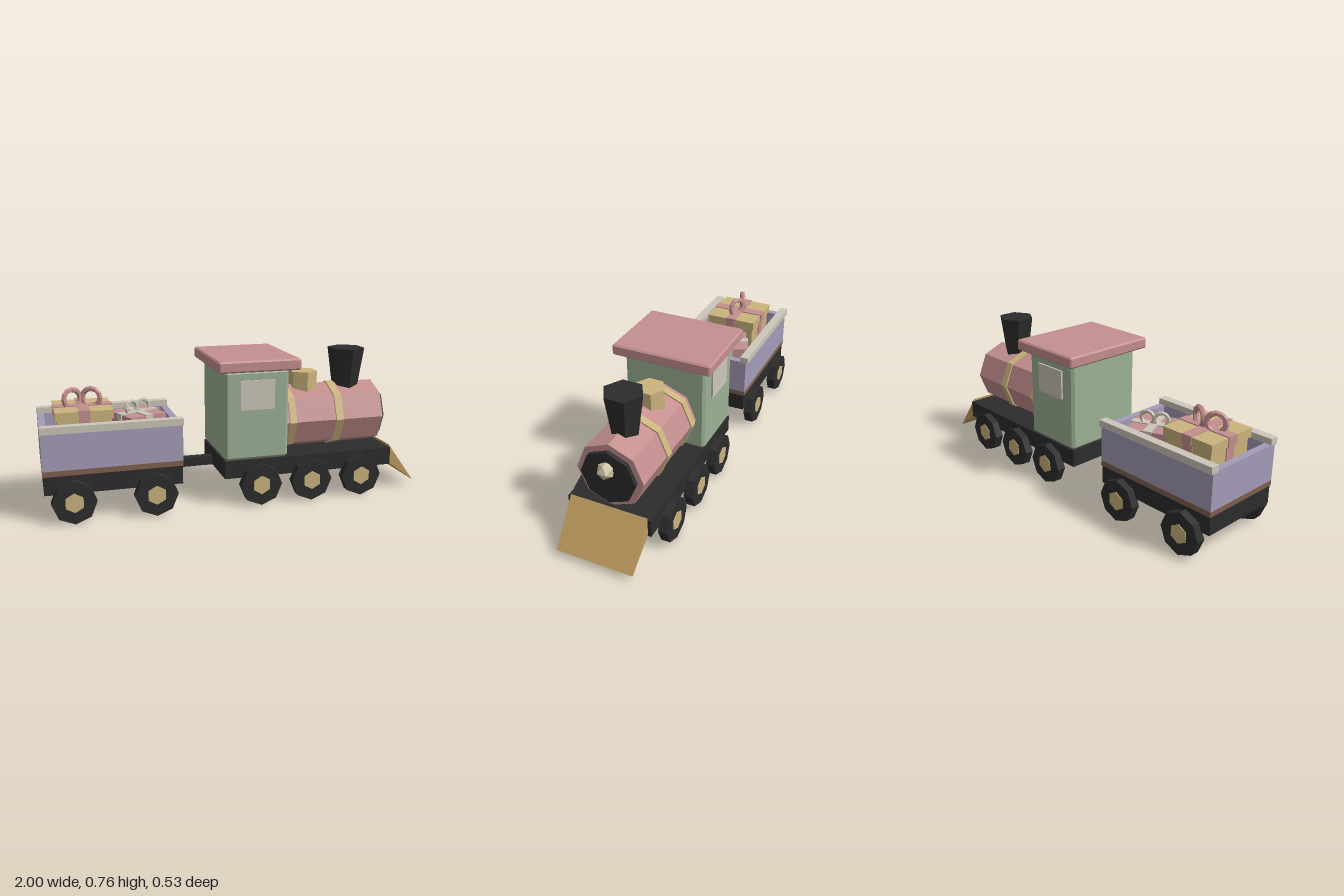
import * as THREE from 'three';
import { ConvexGeometry } from 'three/addons/geometries/ConvexGeometry.js';

const paint = (name, color) => {
  const m = new THREE.MeshStandardMaterial({ color });
  m.name = name;
  return m;
};

// Faceted look: every face gets its own normal
function flat(geometry) {
  const g = geometry.index ? geometry.toNonIndexed() : geometry;
  g.computeVertexNormals();
  return g;
}

// Box with chamfered edges
function chamferBox(w, h, d, c) {
  const pts = [];
  for (const x of [-w / 2, w / 2]) for (const y of [-h / 2, h / 2]) for (const z of [-d / 2, d / 2]) {
    const sx = Math.sign(x) * c, sy = Math.sign(y) * c, sz = Math.sign(z) * c;
    pts.push(new THREE.Vector3(x, y - sy, z - sz), new THREE.Vector3(x - sx, y, z - sz),
      new THREE.Vector3(x - sx, y - sy, z));
  }
  return new ConvexGeometry(pts);
}

export function createModel() {
  const model = new THREE.Group();
  model.name = 'toyTrain';

  const pink = paint('dusty pink', 0xc48f8f);
  const green = paint('sage green', 0x9db195);
  const lavender = paint('lavender', 0xa59cb8);
  const black = paint('charcoal', 0x2c2c2c);
  const gold = paint('soft gold', 0xcbb47e);
  const ochre = paint('ochre', 0xbf9c60);
  const cream = paint('cream', 0xcdc6ba);
  const brown = paint('brown', 0x80604f);
  const pearl = paint('pale sand', 0xcfc3a6);

  function add(parent, name, geometry, material, x = 0, y = 0, z = 0) {
    const mesh = new THREE.Mesh(geometry, material);
    mesh.name = name;
    mesh.position.set(x, y, z);
    parent.add(mesh);
    return mesh;
  }
  // Box given by its limits, with an optional chamfer
  function block(parent, name, material, [x0, x1], [y0, y1], [z0, z1], c = 0) {
    const size = [x1 - x0, y1 - y0, z1 - z0];
    const g = c ? chamferBox(...size, c) : new THREE.BoxGeometry(...size);
    return add(parent, name, g, material, (x0 + x1) / 2, (y0 + y1) / 2, (z0 + z1) / 2);
  }
  // Faceted cylinder lying along x
  function drum(parent, name, material, r, x0, x1, y) {
    const g = flat(new THREE.CylinderGeometry(r, r, x1 - x0, 8));
    g.rotateZ(-Math.PI / 2);
    return add(parent, name, g, material, (x0 + x1) / 2, y, 0);
  }
  // Pairs of octagonal wheels with hexagonal hubs
  const wheelGeo = flat(new THREE.CylinderGeometry(0.11, 0.11, 0.047, 8)).rotateX(Math.PI / 2);
  const hubGeo = flat(new THREE.CylinderGeometry(0.05, 0.05, 0.052, 6)).rotateX(Math.PI / 2);
  function wheels(parent, xs) {
    for (const x of xs) for (const s of [-1, 1]) {
      add(parent, 'wheel', wheelGeo, black, x, 0.11, s * 0.235);
      add(parent, 'wheelHub', hubGeo, gold, x, 0.11, s * 0.236);
    }
  }

  // Locomotive
  const engine = new THREE.Group();
  engine.name = 'locomotive';
  model.add(engine);
  block(engine, 'engineChassis', black, [-0.093, 0.842], [0.145, 0.238], [-0.218, 0.218]);
  wheels(engine, [0.094, 0.372, 0.655]);

  // Cab
  block(engine, 'cab', green, [-0.093, 0.248], [0.238, 0.704], [-0.218, 0.218], 0.014);
  block(engine, 'cabRoof', pink, [-0.136, 0.296], [0.704, 0.762], [-0.264, 0.264], 0.008);
  for (const s of [-1, 1]) {
    add(engine, 'cabWindow', new THREE.BoxGeometry(0.184, 0.152, 0.0095), cream, 0.077, 0.58, s * 0.2225);
  }

  // Boiler
  drum(engine, 'boiler', pink, 0.172, 0.24, 0.81, 0.405);
  drum(engine, 'boilerFront', black, 0.141, 0.8, 0.832, 0.405);
  drum(engine, 'boilerBand', gold, 0.18, 0.275, 0.313, 0.405);
  drum(engine, 'boilerBand', gold, 0.18, 0.538, 0.58, 0.405);
  add(engine, 'headlamp', new THREE.IcosahedronGeometry(0.043, 0), pearl, 0.844, 0.457, 0);
  add(engine, 'steamDome', flat(new THREE.CylinderGeometry(0.078, 0.078, 0.12, 6)), gold, 0.405, 0.59, 0);
  add(engine, 'chimney', flat(new THREE.CylinderGeometry(0.1, 0.066, 0.235, 6)), black, 0.655, 0.6475, 0);

  // Wedge plough at the nose
  const wedge = new THREE.Shape([[0.842, 0.15], [1, 0.033], [0.842, 0.25]].map(p => new THREE.Vector2(...p)));
  const ploughGeo = new THREE.ExtrudeGeometry(wedge, { depth: 0.402, bevelEnabled: false });
  add(engine, 'plough', ploughGeo, ochre, 0, 0, -0.201);

  block(model, 'coupling', black, [-0.297, -0.11], [0.166, 0.213], [-0.023, 0.023]);

  // Wagon
  const wagon = new THREE.Group();
  wagon.name = 'wagon';
  model.add(wagon);
  block(wagon, 'wagonChassis', black, [-0.997, -0.313], [0.145, 0.24], [-0.218, 0.218]);
  block(wagon, 'wagonFloor', brown, [-1, -0.31], [0.24, 0.267], [-0.223, 0.223]);
  wheels(wagon, [-0.858, -0.455]);
  for (const s of [-1, 1]) {
    add(wagon, 'sideWall', new THREE.BoxGeometry(0.69, 0.19, 0.033), lavender, -0.655, 0.362, s * 0.206);
    add(wagon, 'sideRail', new THREE.BoxGeometry(0.694, 0.035, 0.045), cream, -0.655, 0.47, s * 0.2125);
    add(wagon, 'endWall', new THREE.BoxGeometry(0.035, 0.19, 0.38), lavender, -0.655 + s * 0.3275, 0.362, 0);
  }

  // Wrapped gift: box, lid, crossed ribbon and a two-loop bow
  function gift(name, wrap, ribbon, size, top, band, loop, splay) {
    const g = new THREE.Group();
    g.name = name;
    wagon.add(g);
    const b = size / 2 - 0.01, l = size / 2, w = band / 2, e = 0.005;
    block(g, 'giftBox', wrap, [-b, b], [0.267, top - 0.04], [-b, b]);
    block(g, 'giftLid', wrap, [-l, l], [top - 0.045, top], [-l, l]);
    for (const along of [true, false]) {
      const strip = (r, y) => along
        ? block(g, 'ribbon', ribbon, [-r, r], y, [-w, w])
        : block(g, 'ribbon', ribbon, [-w, w], y, [-r, r]);
      strip(b + e, [0.267, top - 0.045]);
      strip(l + e, [top - 0.045, top + e]);
    }
    for (const s of [-1, 1]) {
      const torus = flat(new THREE.TorusGeometry(loop, loop * 0.3, 6, 12));
      const m = add(g, 'bowLoop', torus, ribbon, s * loop * 1.05, top + loop * 0.8, 0);
      m.rotation.y = -s * splay;
    }
    return g;
  }
  gift('largeGift', gold, pink, 0.285, 0.533, 0.055, 0.046, 0.47).position.set(-0.78, 0, 0);
  const small = gift('smallGift', pink, cream, 0.215, 0.47, 0.042, 0.034, 0.12);
  small.position.set(-0.495, 0, -0.045);
  small.rotation.y = 0.42;

  return model;
}
